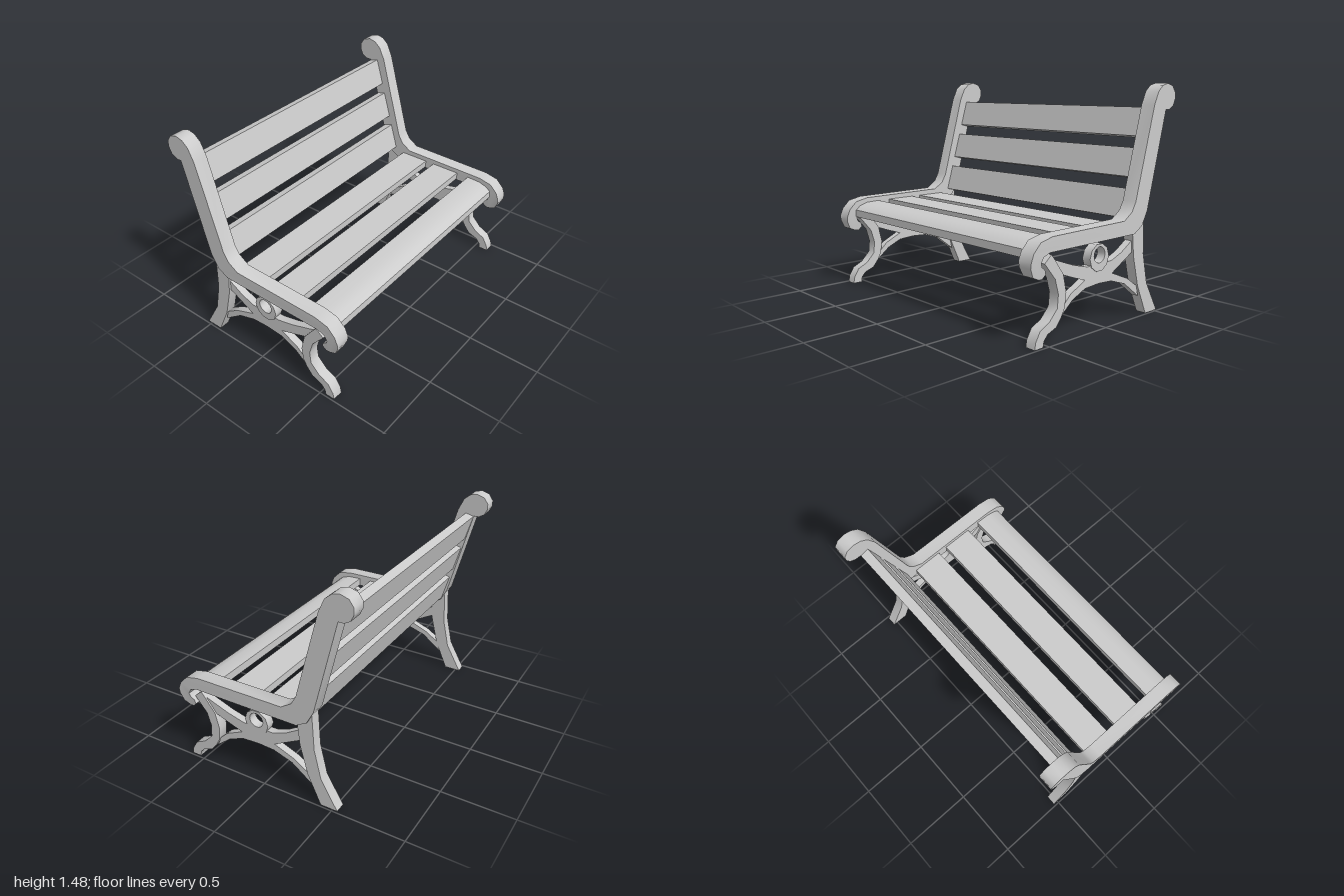
import * as THREE from 'three';
import { toCreasedNormals } from 'three/addons/utils/BufferGeometryUtils.js';

// Side profiles, as [z, y] points
const RAIL = [
  [0.525, 0.425], [0.55, 0.4], [0.575, 0.4], [0.625, 0.42], [0.65, 0.475], [0.65, 0.51],
  [0.63, 0.56], [0.575, 0.615], [0.48, 0.636], [-0.157, 0.642], [-0.23, 0.69], [-0.265, 0.75],
  [-0.43, 1.345], [-0.47, 1.43], [-0.515, 1.468], [-0.565, 1.48], [-0.62, 1.463], [-0.65, 1.42],
  [-0.65, 1.38], [-0.63, 1.337], [-0.59, 1.315], [-0.553, 1.315], [-0.385, 0.68], [-0.335, 0.59],
  [-0.26, 0.547], [0.5, 0.547], [0.55, 0.53], [0.57, 0.495], [0.56, 0.47], [0.535, 0.455],
];
const FRONT_LEG = [
  [0.475, 0.53], [0.53, 0.485], [0.443, 0.382], [0.415, 0.288], [0.423, 0.205], [0.486, 0.14],
  [0.56, 0.104], [0.596, 0.045], [0.604, 0], [0.537, 0], [0.53, 0.037], [0.5, 0.07],
  [0.43, 0.096], [0.388, 0.147], [0.36, 0.2], [0.349, 0.288], [0.376, 0.4], [0.447, 0.496],
];
const BACK_LEG = [
  [-0.26, 0.547], [-0.275, 0.4], [-0.325, 0.2], [-0.415, 0], [-0.533, 0], [-0.42, 0.2],
  [-0.376, 0.4], [-0.365, 0.65], [-0.335, 0.59],
];
const BRACE = [
  [0.45, 0.496], [0.275, 0.433], [0.153, 0.402], [-0.07, 0.405], [-0.165, 0.441], [-0.263, 0.5],
  [-0.267, 0.425], [-0.078, 0.324], [-0.227, 0.265], [-0.325, 0.2], [-0.345, 0.127],
  [-0.204, 0.233], [-0.07, 0.276], [0.047, 0.282], [0.173, 0.273], [0.282, 0.225],
  [0.384, 0.143], [0.353, 0.214], [0.298, 0.265], [0.173, 0.324], [0.29, 0.363], [0.384, 0.398],
];
const FRONT_SLAT = [
  [0.38, 0.55], [0.5, 0.55], [0.55, 0.532], [0.57, 0.505], [0.578, 0.505],
  [0.576, 0.555], [0.54, 0.583], [0.48, 0.602], [0.38, 0.606],
];

const toPoints = (list) => list.map(([z, y]) => new THREE.Vector2(z, y));

// Regular polygon as [z, y] points
const polygon = (z, y, r, n) => Array.from({ length: n }, (_, i) => {
  const a = (i / n) * Math.PI * 2;
  return [z + r * Math.cos(a), y + r * Math.sin(a)];
});

// Extrude a side profile across x, centred on x = 0
function profile(points, width, hole) {
  const shape = new THREE.Shape(toPoints(points));
  if (hole) shape.holes.push(new THREE.Path(toPoints(hole)));
  const geo = new THREE.ExtrudeGeometry(shape, { depth: width, bevelEnabled: false });
  geo.translate(0, 0, -width / 2);
  geo.rotateY(-Math.PI / 2);
  return geo;
}

// Narrow the curled front end of the rail toward its tip
function taperCurl(geo) {
  const p = geo.attributes.position;
  for (let i = 0; i < p.count; i++) {
    if (p.getZ(i) < 0.51) continue;
    const t = THREE.MathUtils.clamp((0.51 - p.getY(i)) / 0.11, 0, 1);
    p.setX(i, p.getX(i) * (1 - 0.25 * t));
  }
  return geo;
}

export function createModel() {
  const bench = new THREE.Group();
  bench.name = 'bench';
  const grey = new THREE.MeshStandardMaterial({ color: 0xcccccc });
  grey.name = 'light grey';

  const add = (parent, name, geo, x = 0) => {
    const mesh = new THREE.Mesh(toCreasedNormals(geo, 0.75), grey);
    mesh.name = name;
    mesh.position.x = x;
    parent.add(mesh);
  };

  // End frames: rail, legs, crossed brace and ring
  for (const [side, x] of [['left', 0.95], ['right', -0.95]]) {
    const frame = new THREE.Group();
    frame.name = side + 'Frame';
    add(frame, 'rail', taperCurl(profile(RAIL, 0.1)), x);
    add(frame, 'frontLeg', profile(FRONT_LEG, 0.072), x);
    add(frame, 'backLeg', profile(BACK_LEG, 0.072), x);
    add(frame, 'brace', profile(BRACE, 0.05), x);
    add(frame, 'ring', profile(polygon(0.05, 0.443, 0.087, 10), 0.06, polygon(0.05, 0.46, 0.05, 20)), x);
    bench.add(frame);
  }

  // Seat slats: a curved front one and two flat ones
  add(bench, 'frontSeatSlat', profile(FRONT_SLAT, 1.81));
  for (const [z0, z1] of [[0.07, 0.285], [-0.215, 0]]) {
    add(bench, 'seatSlat', profile([[z0, 0.555], [z1, 0.555], [z1, 0.606], [z0, 0.606]], 1.81));
  }

  // Leaning back slats, placed by the height of their front lower edge
  for (const y of [0.632, 0.888, 1.145]) {
    const z = -0.287 - (y - 0.632) * 0.293;
    const top = [z - 0.054, y + 0.183];
    add(bench, 'backSlat', profile([
      [z, y], top, [top[0] - 0.06, top[1] - 0.016], [z - 0.06, y - 0.016],
    ], 1.81));
  }
  return bench;
}
